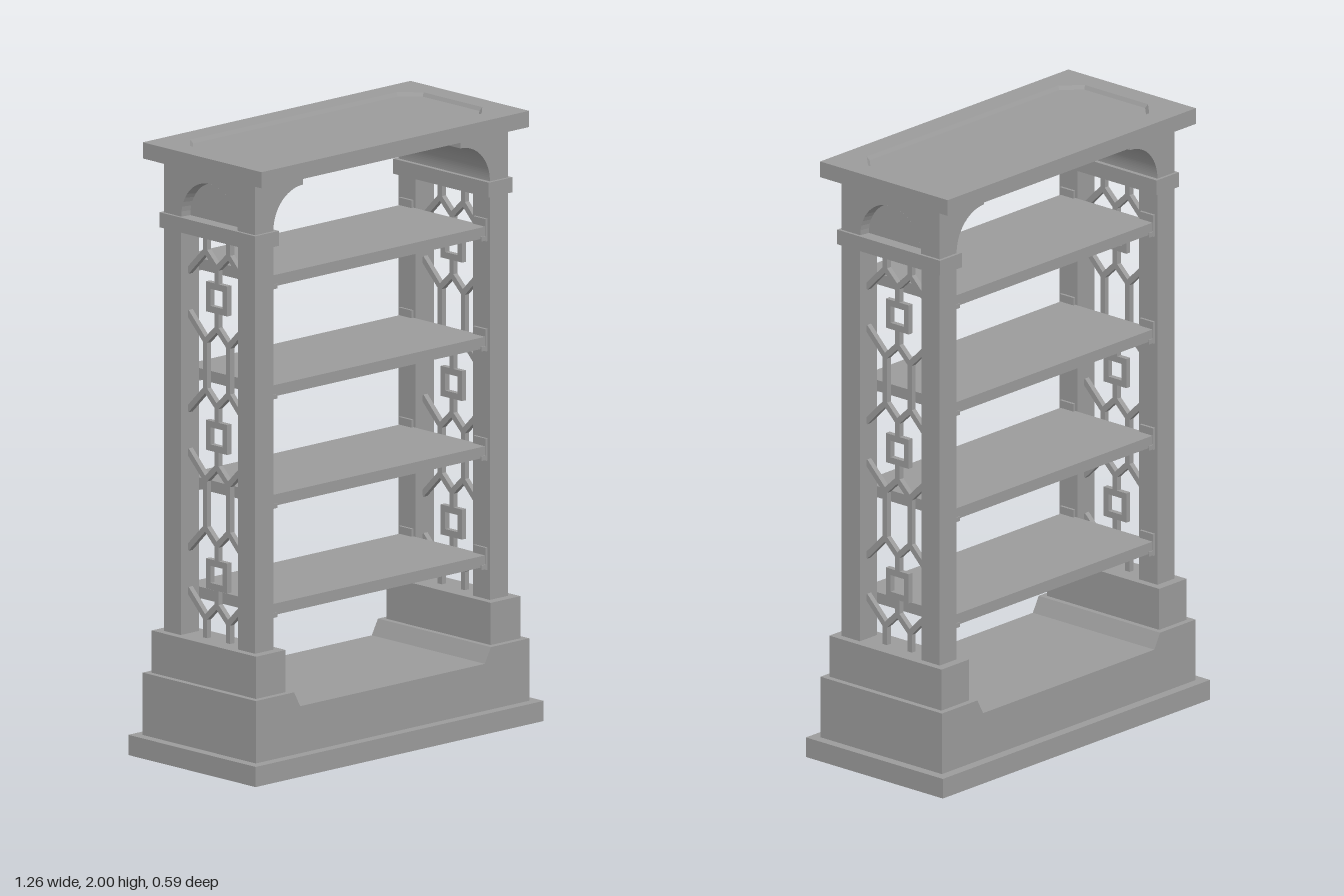
import * as THREE from 'three';

const mat = new THREE.MeshStandardMaterial({ color: 0x9b9b9b, flatShading: true, side: THREE.DoubleSide });

function add(parent, name, geometry) {
  const mesh = new THREE.Mesh(geometry, mat);
  mesh.name = name;
  parent.add(mesh);
  return mesh;
}

// Box given by its min and max on each axis
function box(parent, name, x0, x1, y0, y1, z0, z1) {
  const mesh = add(parent, name, new THREE.BoxGeometry(x1 - x0, y1 - y0, z1 - z0));
  mesh.position.set((x0 + x1) / 2, (y0 + y1) / 2, (z0 + z1) / 2);
}

const shapeOf = pts => new THREE.Shape(pts.map(p => new THREE.Vector2(...p)));
const extrude = (shape, depth) => new THREE.ExtrudeGeometry(shape, { depth, bevelEnabled: false, curveSegments: 16 });

// Ribbon of quads between two matching rows of [x, y, z] points
function ribbon(a, b) {
  const pos = [], index = [];
  a.forEach((p, i) => pos.push(...p, ...b[i]));
  for (let i = 0; i < a.length - 1; i++) {
    const k = i * 2;
    index.push(k, k + 1, k + 2, k + 1, k + 3, k + 2);
  }
  const g = new THREE.BufferGeometry();
  g.setAttribute('position', new THREE.Float32BufferAttribute(pos, 3));
  g.setIndex(index);
  const flat = g.toNonIndexed();
  flat.computeVertexNormals();
  return flat;
}

// Lattice bar between two [z, y] points
function bar(parent, a, b) {
  const dz = b[0] - a[0], dy = b[1] - a[1];
  const mesh = add(parent, 'latticeBar', new THREE.BoxGeometry(0.018, Math.hypot(dz, dy) + 0.006, 0.019));
  mesh.position.set(0.515, (a[1] + b[1]) / 2, (a[0] + b[0]) / 2);
  mesh.rotation.x = Math.atan2(dz, dy);
}

function createLattice() {
  const g = new THREE.Group();
  g.name = 'sideLattice';
  const centres = [0.62, 1.073, 1.526], v = 0.053, j = 0.148;
  for (const c of centres) {
    // square ring
    const ring = shapeOf([[-0.049, -0.049], [0.049, -0.049], [0.049, 0.049], [-0.049, 0.049]]);
    ring.holes.push(shapeOf([[-0.028, -0.028], [-0.028, 0.028], [0.028, 0.028], [0.028, -0.028]]));
    const mesh = add(g, 'latticeSquare', extrude(ring, 0.018));
    mesh.rotation.y = Math.PI / 2;
    mesh.position.set(0.506, c, 0);
    // stems and forked diagonals above and below the square
    for (const u of [-1, 1]) {
      bar(g, [0, c + u * 0.046], [0, c + u * 0.098]);
      for (const s of [-1, 1]) {
        bar(g, [0, c + u * 0.098], [s * v, c + u * j]);
        bar(g, [s * v, c + u * j], [s * 0.133, c + u * 0.068]);
      }
    }
  }
  // uprights linking the forks
  const ends = [0.408, ...centres.flatMap(c => [c - j, c + j]), 1.732];
  for (let i = 0; i < ends.length; i += 2)
    for (const s of [-1, 1]) bar(g, [s * v, ends[i]], [s * v, ends[i + 1]]);
  return g;
}

const shelfTops = [0.553, 0.91, 1.268, 1.628];

function createSide(name) {
  const g = new THREE.Group();
  g.name = name;
  box(g, 'postBase', 0.45, 0.58, 0.27, 0.408, -0.24, 0.24);
  box(g, 'capital', 0.46, 0.565, 1.728, 1.777, -0.22, 0.22);
  for (const s of [-1, 1]) {
    const z0 = s > 0 ? 0.132 : -0.21, z1 = s > 0 ? 0.21 : -0.132;
    box(g, 'post', 0.475, 0.555, 0.408, 1.728, z0, z1);
    // small plates and cleats that carry the shelves
    for (const y of shelfTops) {
      box(g, 'shelfPlate', 0.466, 0.476, y - 0.048, y + 0.025, z0 + 0.01, z1 - 0.01);
      box(g, 'shelfCleat', 0.447, 0.476, y - 0.045, y - 0.03, z0 + 0.01, z1 - 0.01);
    }
  }
  g.add(createLattice());

  // curved bracket running the full depth
  const bracket = shapeOf([[0.52, 1.777], [0.52, 1.947], [0.345, 1.947], [0.345, 1.907]]);
  bracket.absarc(0.345, 1.777, 0.13, Math.PI / 2, 0, true);
  add(g, 'bracket', extrude(bracket, 0.42)).position.z = -0.21;

  // outer panel with an arched niche
  const panel = shapeOf([[0.13, 1.777], [0.21, 1.777], [0.21, 1.947], [-0.21, 1.947], [-0.21, 1.777], [-0.13, 1.777]]);
  panel.absarc(0, 1.777, 0.13, Math.PI, 0, true);
  const mesh = add(g, 'archPanel', extrude(panel, 0.036));
  mesh.rotation.y = Math.PI / 2;
  mesh.position.x = 0.519;
  // tapered lining of the niche
  const arc = (x, r) => Array.from({ length: 25 }, (_, i) => {
    const t = i / 24 * Math.PI;
    return [x, 1.777 + r * Math.sin(t), r * Math.cos(t)];
  });
  add(g, 'nicheLining', ribbon(arc(0.555, 0.13), arc(0.52, 0.125)));
  return g;
}

// Rectangle with cut corners
const octagon = (x, z, c) => [[x, z - c], [x - c, z], [c - x, z], [-x, z - c], [-x, c - z], [c - x, -z], [x - c, -z], [x, c - z]];

export function createModel() {
  const root = new THREE.Group();
  root.name = 'shelfUnit';

  // plinth and notched base
  box(root, 'plinth', -0.632, 0.632, 0, 0.066, -0.293, 0.293);
  const base = shapeOf([[-0.6, 0.066], [0.6, 0.066], [0.6, 0.27], [0.432, 0.27], [0.405, 0.22],
    [-0.405, 0.22], [-0.432, 0.27], [-0.6, 0.27]]);
  add(root, 'base', extrude(base, 0.52)).position.z = -0.26;

  // two identical sides
  root.add(createSide('leftSide'));
  const right = createSide('rightSide');
  right.rotation.y = Math.PI;
  root.add(right);

  for (const y of shelfTops) box(root, 'shelf', -0.475, 0.475, y - 0.037, y, -0.197, 0.197);

  // top slab with a sunken panel and bevelled edge
  const X = 0.587, Z = 0.273, floor = 1.988;
  box(root, 'topSlab', -X, X, 1.947, floor, -Z, Z);
  const rim = shapeOf([[-X, -Z], [X, -Z], [X, Z], [-X, Z]]);
  const outer = octagon(0.513, 0.195, 0.06), inner = octagon(0.505, 0.187, 0.057);
  rim.holes.push(shapeOf(outer));
  const rimMesh = add(root, 'topRim', extrude(rim, 2 - floor));
  rimMesh.rotation.x = -Math.PI / 2;
  rimMesh.position.y = floor;
  const loop = (pts, y) => [...pts, pts[0]].map(([x, z]) => [x, y, z]);
  add(root, 'topBevel', ribbon(loop(inner, floor), loop(outer, 2)));

  return root;
}
